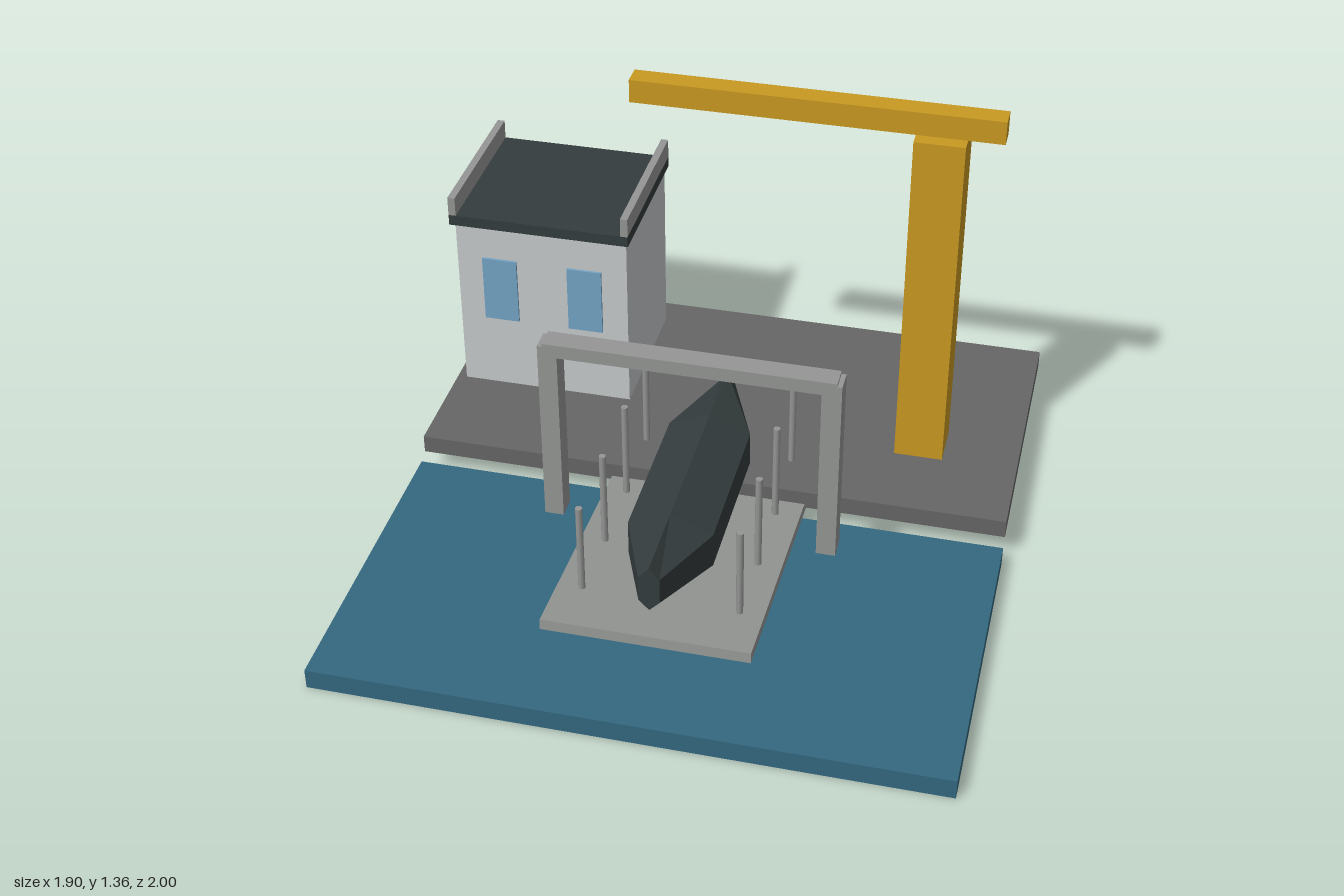
import * as THREE from 'three';

const mat = (name, color) => {
  const m = new THREE.MeshStandardMaterial({ color });
  m.name = name;
  return m;
};

export function createModel() {
  const model = new THREE.Group();
  model.name = 'boatyard';

  const water = mat('waterBlue', 0x34687f);
  const concrete = mat('darkConcrete', 0x666666);
  const steel = mat('steelGrey', 0x949694);
  const wall = mat('wallGrey', 0xc5c9cb);
  const dark = mat('darkSlate', 0x343c3d);
  const glass = mat('windowBlue', 0x74a3c4);
  const yellow = mat('craneYellow', 0xc99a21);

  // Box given by its limits on each axis
  const box = (name, material, [x0, x1], [y0, y1], [z0, z1], parent = model) => {
    const mesh = new THREE.Mesh(new THREE.BoxGeometry(x1 - x0, y1 - y0, z1 - z0), material);
    mesh.position.set((x0 + x1) / 2, (y0 + y1) / 2, (z0 + z1) / 2);
    mesh.name = name;
    parent.add(mesh);
    return mesh;
  };
  const group = (name) => {
    const g = new THREE.Group();
    g.name = name;
    model.add(g);
    return g;
  };

  // Ground slabs
  box('water', water, [-0.95, 0.95], [0, 0.065], [-0.017, 1]);
  box('quay', concrete, [-0.95, 0.95], [0.08, 0.14], [-1, -0.053]);

  // Slipway, rising towards the front
  const slipway = box('slipway', steel, [-0.315, 0.315], [0.08, 0.114], [-0.395, 0.743]);
  slipway.rotation.x = -0.092;

  // Guide posts along both sides of the slipway
  const posts = group('guidePosts');
  for (const x of [-0.24, 0.24]) {
    for (let i = 0; i < 4; i++) {
      const post = new THREE.Mesh(new THREE.CylinderGeometry(0.011, 0.011, 0.33, 8), steel);
      post.position.set(x, 0.285, 0.555 - i * 0.255);
      post.name = 'guidePost';
      posts.add(post);
    }
  }

  // Portal frame over the boat
  const portal = group('portalFrame');
  for (const s of [-1, 1]) {
    box('portalLeg', steel, [s * 0.43 - 0.03, s * 0.43 + 0.03], [0.12, 0.75], [0.135, 0.205], portal);
  }
  box('portalBeam', steel, [-0.445, 0.445], [0.715, 0.76], [0.135, 0.205], portal);

  // Boat hull: six-sided sections, z / half width / top / upper chine / lower chine / keel
  const sections = [
    [0.68, 0.032, 0.37, 0.335, 0.25, 0.216],
    [0.425, 0.13, 0.37, 0.315, 0.2, 0.14],
    [-0.083, 0.13, 0.37, 0.315, 0.2, 0.14],
    [-0.337, 0.022, 0.354, 0.325, 0.25, 0.225],
  ];
  const rings = sections.map(([z, w, top, up, low, keel]) =>
    [[0, top, z], [-w, up, z], [-w, low, z], [0, keel, z], [w, low, z], [w, up, z]]);
  const corners = [];
  for (let i = 0; i < rings.length - 1; i++) {
    for (let j = 0; j < 6; j++) {
      const k = (j + 1) % 6;
      const a = rings[i][j], b = rings[i][k], c = rings[i + 1][k], d = rings[i + 1][j];
      corners.push(a, d, c, a, c, b);
    }
  }
  const bow = rings[0], stern = rings[rings.length - 1];
  for (let j = 1; j < 5; j++) {
    corners.push(bow[0], bow[j], bow[j + 1], stern[0], stern[j + 1], stern[j]);
  }
  const hullGeometry = new THREE.BufferGeometry();
  hullGeometry.setAttribute('position', new THREE.Float32BufferAttribute(corners.flat(), 3));
  hullGeometry.computeVertexNormals();
  const hull = new THREE.Mesh(hullGeometry, dark);
  hull.name = 'boatHull';
  model.add(hull);

  // Crane
  const crane = group('crane');
  box('craneMast', yellow, [0.555, 0.71], [0.14, 1.285], [-0.475, -0.32], crane);
  box('craneBoom', yellow, [-0.318, 0.82], [1.285, 1.36], [-0.435, -0.365], crane);

  // Harbour office with windows front and back
  const office = group('office');
  box('officeWalls', wall, [-0.92, -0.35], [0.14, 0.75], [-0.903, -0.407], office);
  box('officeRoof', dark, [-0.935, -0.34], [0.75, 0.786], [-0.918, -0.39], office);
  for (const x of [-0.935, -0.364]) {
    box('roofParapet', steel, [x, x + 0.024], [0.786, 0.85], [-0.918, -0.39], office);
  }
  for (const x of [-0.835, -0.55]) {
    for (const z of [-0.911, -0.408]) {
      box('officeWindow', glass, [x, x + 0.115], [0.4, 0.63], [z, z + 0.009], office);
    }
  }

  return model;
}
